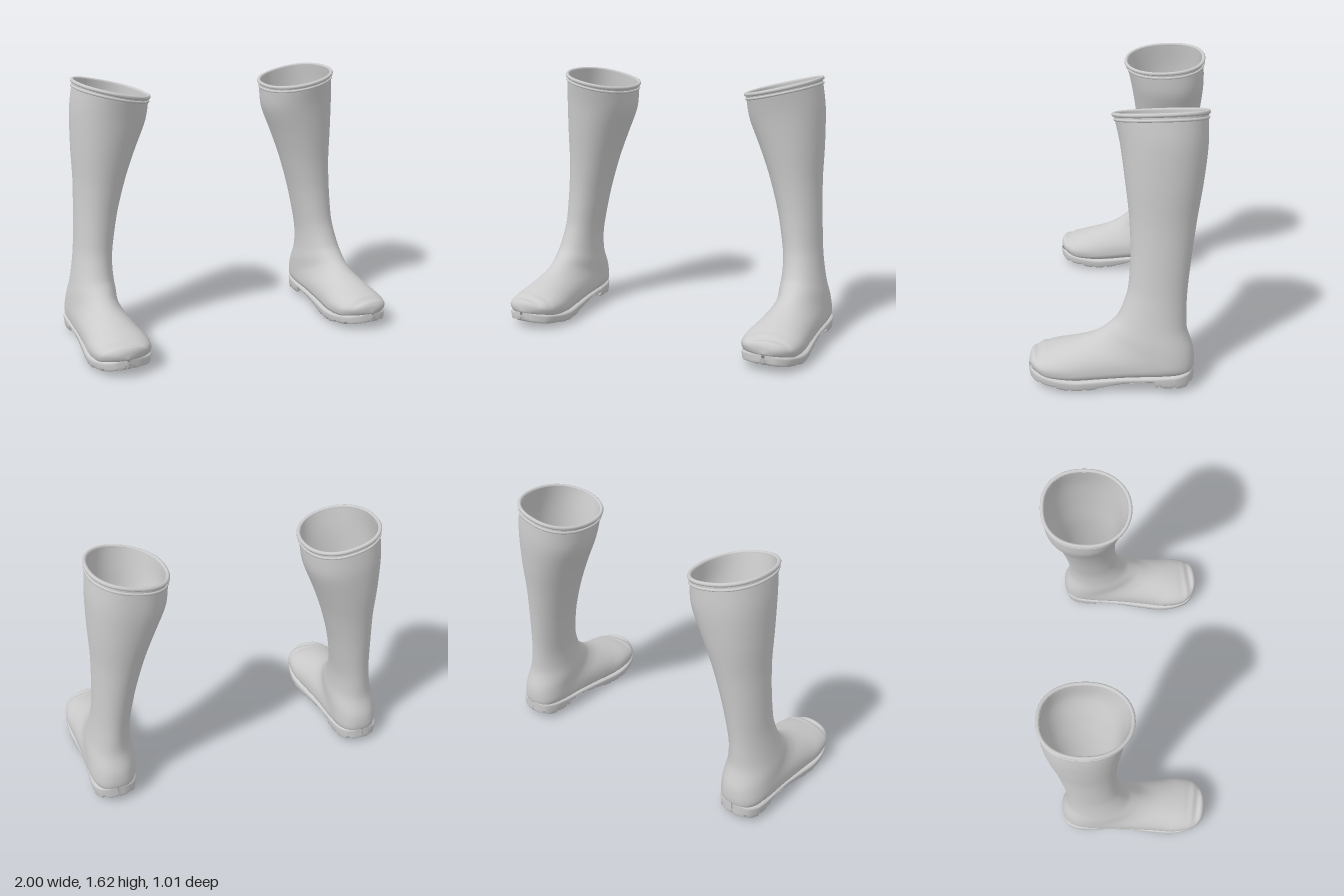
import * as THREE from 'three';

const SIDES = 56;

// Upper, from shaft top to toe tip. Each ring spans a front and a back point:
// frontY, frontZ, backY, backZ, centreX, halfWidth, widest place (0 back, 1 front), squareness of back half
const RINGS = [
  [1.55, 0.02, 1.575, -0.495, 0.64, 0.222, 0.5, 2.3],
  [1.4, -0.015, 1.4, -0.5, 0.66, 0.225, 0.5, 2.2],
  [1.2, -0.045, 1.2, -0.48, 0.697, 0.193, 0.5, 2.1],
  [1.0, -0.07, 1.0, -0.45, 0.73, 0.157, 0.5, 2],
  [0.8, -0.08, 0.8, -0.425, 0.763, 0.132, 0.5, 2],
  [0.6, -0.07, 0.6, -0.405, 0.79, 0.118, 0.5, 2],
  [0.5, -0.045, 0.48, -0.4, 0.805, 0.118, 0.5, 2],
  [0.42, -0.01, 0.35, -0.405, 0.815, 0.128, 0.48, 2.1],
  [0.375, 0.03, 0.22, -0.445, 0.82, 0.142, 0.45, 2.3],
  [0.335, 0.08, 0.11, -0.44, 0.825, 0.148, 0.4, 2.6],
  [0.3, 0.14, 0.085, -0.34, 0.825, 0.152, 0.4, 3],
  [0.275, 0.2, 0.075, -0.12, 0.823, 0.158, 0.4, 3],
  [0.25, 0.28, 0.06, 0.08, 0.82, 0.168, 0.4, 3],
  [0.225, 0.36, 0.055, 0.24, 0.817, 0.18, 0.4, 3],
  [0.2, 0.43, 0.06, 0.37, 0.817, 0.165, 0.45, 3],
  [0.185, 0.475, 0.075, 0.435, 0.82, 0.125, 0.5, 2.6],
  [0.165, 0.495, 0.1, 0.48, 0.825, 0.07, 0.5, 2.2],
  [0.13, 0.5, 0.12, 0.5, 0.83, 0, 0.5, 2],
];

// Sole stations from toe to heel: z, centreX, halfWidth, weltY, bottomY
const SOLE = [
  [0.505, 0.83, 0.01, 0.105, 0.08],
  [0.485, 0.825, 0.085, 0.1, 0.055],
  [0.43, 0.817, 0.148, 0.088, 0.035],
  [0.33, 0.817, 0.18, 0.072, 0.02],
  [0.22, 0.817, 0.182, 0.062, 0.003],
  [0.08, 0.818, 0.167, 0.07, 0.022],
  [-0.06, 0.82, 0.153, 0.08, 0.055],
  [-0.215, 0.825, 0.147, 0.088, 0.067],
  [-0.24, 0.825, 0.147, 0.09, 0.03],
  [-0.35, 0.83, 0.138, 0.1, 0.025],
  [-0.415, 0.83, 0.105, 0.108, 0.03],
  [-0.442, 0.83, 0.055, 0.112, 0.045],
  [-0.45, 0.83, 0.005, 0.115, 0.07],
];

// Smooth reading of every column of a table at t in 0..1
function sampler(table) {
  const curves = [];
  for (let k = 0; k < table[0].length; k++) {
    const pts = table.map((r) => new THREE.Vector3(r[k], 0, 0));
    curves.push(new THREE.CatmullRomCurve3(pts, false, 'catmullrom', 0.45));
  }
  return (t) => curves.map((c) => c.getPoint(t).x);
}
const upperAt = sampler(RINGS);
const soleAt = sampler(SOLE);
const spow = (v, e) => Math.sign(v) * Math.pow(Math.abs(v), e);

// One ring of the upper; inset shrinks it for the lining
function ring(t, inset = 0) {
  const [fy, fz, by, bz, xc, hw, wide, n] = upperAt(t);
  const len = Math.hypot(fy - by, fz - bz) || 1;
  const tilt = 0.22 * THREE.MathUtils.smoothstep((fy + by) / 2, 1.0, 1.55);
  const pts = [];
  for (let j = 0; j < SIDES; j++) {
    const a = (j / SIDES) * Math.PI * 2;
    const c = Math.cos(a);
    const e = 2 / (c > 0 ? 2.1 : n);
    const x = spow(Math.sin(a), e) * Math.max(hw - inset, 0);
    const along = spow(c, e) * (1 - (2 * inset) / len);
    const f = wide + along * (c > 0 ? 1 - wide : wide);
    const z = bz + (fz - bz) * f;
    let y = by + (fy - by) * f + tilt * x;
    // creases over the toe cap
    if (c > 0) y += 0.006 * THREE.MathUtils.smoothstep(z, 0.36, 0.44) * Math.sin(95 * z + 14 * x) * c;
    pts.push(new THREE.Vector3(xc + x, y, z));
  }
  return pts;
}

// One cross-section of the sole: welt, side wall, lugged bottom, side wall, welt
function soleSection(t) {
  const [z, xc, hw, top, bottom] = soleAt(t);
  const mid = (top + bottom) / 2;
  const pts = [];
  const add = (u, y) => pts.push(new THREE.Vector3(xc + u * hw, y, z));
  const wall = [[0.86, top + 0.012], [0.97, top + 0.008], [1, top - 0.004], [0.965, mid], [0.97, mid - 0.006]];
  wall.forEach(([u, y]) => add(-u, y));
  const steps = 36;
  for (let k = 0; k <= steps; k++) {
    const u = -0.94 + (1.88 * k) / steps;
    // staggered rows of lugs parted by narrow grooves
    const row = z / 0.085;
    const shift = Math.floor(row) % 2 ? 0.5 : 0;
    const gap = Math.min(Math.abs(Math.sin(Math.PI * (u * 2 + shift))), Math.abs(Math.sin(Math.PI * row)));
    const groove = 1 - THREE.MathUtils.smoothstep(gap, 0.05, 0.5);
    add(u, Math.min(bottom + 0.02 * groove + 0.01 * u * u * u * u, top));
  }
  wall.reverse().forEach(([u, y]) => add(u, y));
  return pts;
}

// Skin rows of points; side -1 mirrors across x
function loft(rows, side, closed, inward = false) {
  const n = rows[0].length;
  const pos = [];
  const idx = [];
  rows.forEach((r) => r.forEach((p) => pos.push(p.x * side, p.y, p.z)));
  const flip = (side < 0) !== inward;
  for (let i = 0; i < rows.length - 1; i++) {
    for (let j = 0; j < (closed ? n : n - 1); j++) {
      const a = i * n + j;
      const b = i * n + ((j + 1) % n);
      const c = a + n;
      const d = b + n;
      if (flip) idx.push(a, d, c, a, b, d);
      else idx.push(a, c, d, a, d, b);
    }
  }
  const g = new THREE.BufferGeometry();
  g.setAttribute('position', new THREE.Float32BufferAttribute(pos, 3));
  g.setIndex(idx);
  g.computeVertexNormals();
  return g;
}

const rowsOf = (count, end, fn) => Array.from({ length: count + 1 }, (_, i) => fn((i / count) * end));

function makeBoot(side, material) {
  const boot = new THREE.Group();
  const add = (name, geometry) => {
    const mesh = new THREE.Mesh(geometry, material);
    mesh.name = name;
    boot.add(mesh);
  };
  // shaft and foot in one skin
  add('upper', loft(rowsOf(102, 1, (t) => ring(t)), side, true));
  // inside of the shaft, open at the ankle
  add('lining', loft(rowsOf(36, 6.4 / 17, (t) => ring(t, 0.012)), side, true, true));
  // rolled rim with a thinner seam below it
  const loop = (t, r) => {
    const pts = ring(t).map((p) => new THREE.Vector3(p.x * side, p.y, p.z));
    return new THREE.TubeGeometry(new THREE.CatmullRomCurve3(pts, true), 96, r, 8, true);
  };
  add('rolledRim', loop(0, 0.012));
  add('rimSeam', loop(0.011, 0.008));
  // welt, lugs and heel
  add('sole', loft(rowsOf(150, 1, soleSection), side, false));
  return boot;
}

export function createModel() {
  const model = new THREE.Group();
  model.name = 'pairOfBoots';
  const material = new THREE.MeshStandardMaterial({ color: 0xcccccc });
  for (const [name, side] of [['leftBoot', 1], ['rightBoot', -1]]) {
    const boot = makeBoot(side, material);
    boot.name = name;
    model.add(boot);
  }
  return model;
}
